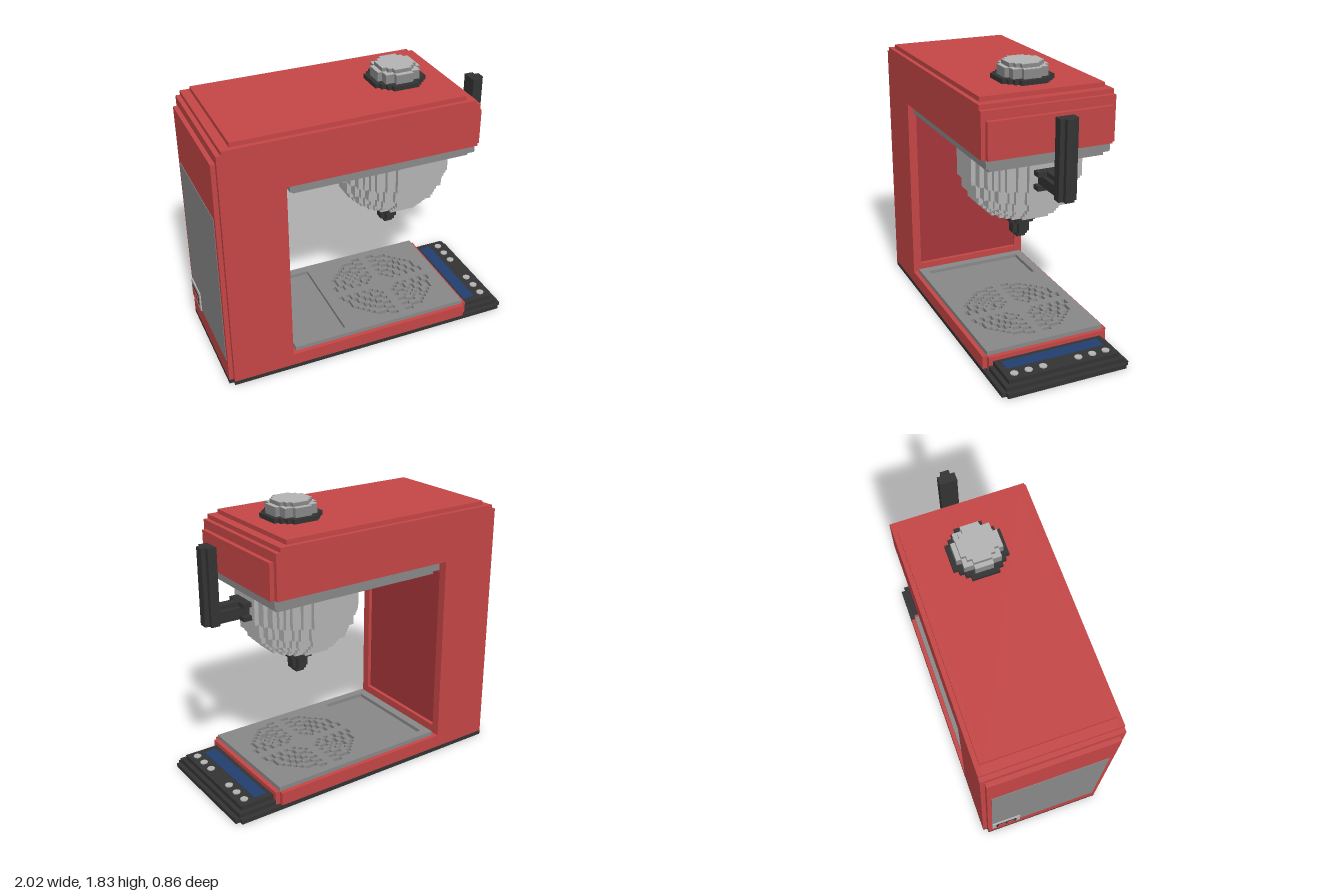
import * as THREE from 'three';
import { mergeGeometries } from 'three/addons/utils/BufferGeometryUtils.js';

const V = 2 / 70; // one block; parts are laid out in blocks, x from 0 to 70, z centred

const mat = (name, color) => {
  const m = new THREE.MeshStandardMaterial({ color });
  m.name = name;
  return m;
};

export function createModel() {
  const red = mat('body red', 0xc44545);
  const darkRed = mat('panel dark red', 0xa5353a);
  const grey = mat('metal grey', 0x888888);
  const light = mat('light grey', 0xb3b3b3);
  const dark = mat('charcoal', 0x333333);
  const blue = mat('display blue', 0x223f6e);

  const model = new THREE.Group();
  model.name = 'coffeeMachine';
  const blocks = new THREE.Group();
  blocks.name = 'machine';
  blocks.scale.setScalar(V);
  blocks.position.x = -1;
  model.add(blocks);

  const add = (name, geo, material) => {
    const mesh = new THREE.Mesh(geo, material);
    mesh.name = name;
    blocks.add(mesh);
    return mesh;
  };

  // box from its limits
  const span = (x0, x1, y0, y1, z0, z1) =>
    new THREE.BoxGeometry(x1 - x0, y1 - y0, z1 - z0)
      .translate((x0 + x1) / 2, (y0 + y1) / 2, (z0 + z1) / 2);

  // one layer of blocks, built as runs along x wherever solid(x, z) holds
  const layer = (x0, x1, z0, z1, y0, y1, solid) => {
    const runs = [];
    for (let z = z0; z < z1; z++) {
      let start = null;
      for (let x = x0; x <= x1; x++) {
        const on = x < x1 && solid(x + 0.5, z + 0.5);
        if (on && start === null) start = x;
        if (!on && start !== null) {
          runs.push(span(start, x, y0, y1, z, z + 1));
          start = null;
        }
      }
    }
    return mergeGeometries(runs);
  };

  // stepped discs stacked as [radius, bottom, top]
  const discs = (cx, list) => mergeGeometries(list.map(([r, y0, y1]) =>
    layer(cx - r, cx + r, -r, r, y0, y1, (x, z) => Math.hypot(x - cx, z) < r + 0.05)));

  // slab of the C-shaped body between two depths
  const slab = (points, z0, z1) => new THREE.ExtrudeGeometry(
    new THREE.Shape(points.map(([x, y]) => new THREE.Vector2(x, y))),
    { depth: z1 - z0, bevelEnabled: false }).translate(0, 0, z0);

  // Body: full profile, recessed core and inset outer skins
  const arm = [[15, 4], [60, 4], [60, 1], [0, 1]];
  const top = [[0, 56], [1, 56], [1, 58], [2, 58], [2, 59], [4, 59], [4, 60], [56, 60], [56, 59],
    [58, 59], [58, 58], [59, 58], [59, 56], [60, 56], [60, 48], [15, 48]];
  const recess = [[15, 45], [14, 45], [14, 6], [15, 6]];
  const skin = [[15, 4], [59, 4], [59, 1], [1, 1], [1, 58], [2, 58], [2, 59], [58, 59], [58, 58],
    [59, 58], [59, 48], [15, 48]];
  add('body', mergeGeometries([
    slab([...arm, ...top, ...recess], -13, 13),
    slab([...arm, ...top], 13, 14), slab([...arm, ...top], -14, -13),
    slab(skin, 14, 15), slab(skin, -15, -14),
  ]), red);
  add('columnInnerPanel', span(14, 14.1, 6, 45, -13, 13), darkRed);

  // Base plate with notched corners
  add('basePlate', mergeGeometries([span(0, 70, 0, 1, -14, 14),
    span(1, 69, 0, 1, 14, 15), span(1, 69, 0, 1, -15, -14)]), dark);

  // Control panel with display and buttons
  add('controlPanel', mergeGeometries([span(60, 69, 1, 2, -14, 14),
    span(60, 68, 2, 3, -13, 13)]), dark);
  add('display', span(61, 64, 3, 3.1, -11.6, 11.6), blue);
  for (const side of [-1, 1]) for (const z of [4.2, 7.6, 10.9]) {
    add('button', new THREE.CylinderGeometry(0.9, 0.9, 0.25, 8)
      .rotateY(Math.PI / 8).translate(66.1, 3.12, side * z), light);
  }

  // Drip tray: sunken rest plate and ring slots in four quarters
  const traySolid = (x, z) => {
    if (x > 18 && x < 29 && Math.abs(z) < 12) return false;
    const dx = x - 44, dz = z, r = Math.hypot(dx, dz);
    const slot = r > 3 && r < 13 && Math.abs(dx) > 1 && Math.abs(dz) > 1 && Math.floor(r) % 2 === 1;
    return !slot;
  };
  add('dripTray', layer(16, 59, -14, 14, 4, 5, traySolid), grey);
  add('dripTrayFloor', span(16.1, 58.9, 4, 4.15, -13.9, 13.9), grey);

  // Plate under the head
  add('headPlate', mergeGeometries([span(16, 59, 46, 48, -14, 14),
    span(17, 58, 45, 46, -13, 13)]), grey);

  // Brewing bowl and nozzle
  add('brewBowl', discs(45, [[13, 39, 45], [12, 36, 39], [11, 34, 36], [10, 33, 34],
    [9, 32, 33], [8, 31, 32]]), light);
  add('nozzle', discs(45, [[3, 28, 31], [2, 25, 28], [1, 24, 25]]), dark);

  // Handle: arm, end flanges and upright grip
  add('handle', mergeGeometries([
    span(58, 65, 40, 44, -1, 1), span(58, 65, 41, 43, -2, 2),
    span(57, 60, 43, 44, -3, 3), span(57, 60, 40, 41, -3, 3),
    span(65, 67, 40, 57, -2, 2), span(67, 68, 40, 57, -1, 1),
  ]), dark);

  // Lid knob on top
  add('knobCollar', discs(46, [[6, 60, 61]]), dark);
  add('knob', discs(46, [[5, 61, 63], [4, 63, 63.9]]), grey);
  add('knobTop', discs(46, [[5, 63, 63.1], [4, 63.9, 64]]), light);

  // Back panel and power switch
  add('backPanel', span(-0.1, 0, 6, 43, -13, 13), grey);
  add('switchFrame', span(-0.4, 0, 6, 11, -13, -6), light);
  add('switchWell', span(-0.5, -0.4, 7, 10, -12, -7), dark);
  for (const z of [-11.5, -9.3]) add('switchRocker', span(-0.65, -0.5, 7.5, 9.5, z, z + 1.8), red);

  return model;
}
